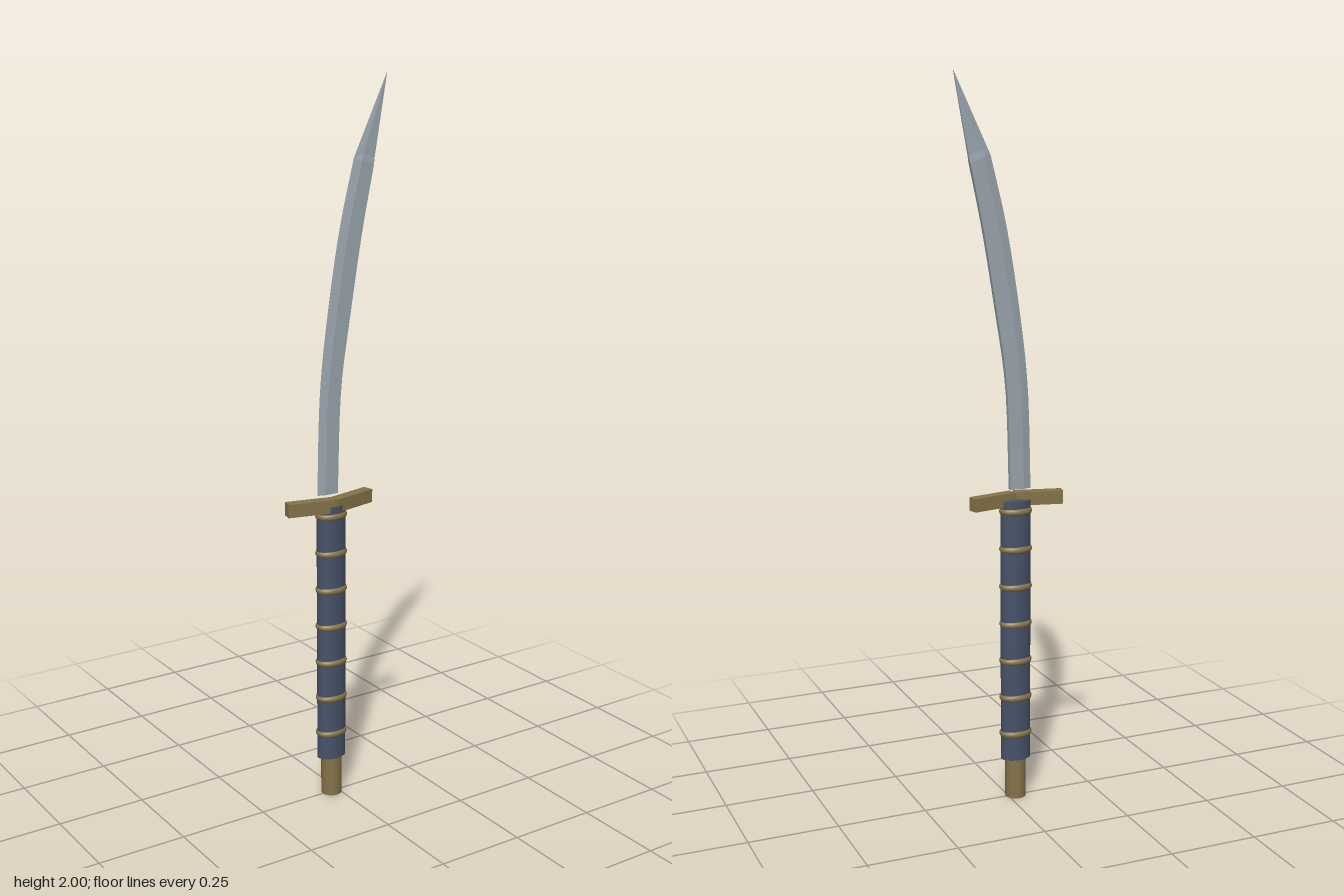
import * as THREE from 'three';

const brass = new THREE.MeshStandardMaterial({ color: 0x857349 });
const wrap = new THREE.MeshStandardMaterial({ color: 0x465268 });
const steel = new THREE.MeshStandardMaterial({ color: 0x9aa4ae, flatShading: true });
const AXIS_X = -0.022;

function part(name, geometry, material, x, y, z = 0) {
  const mesh = new THREE.Mesh(geometry, material);
  mesh.name = name;
  mesh.position.set(x, y, z);
  return mesh;
}

// Smooth edge line sampled from a few points
function edge(points, n) {
  const curve = new THREE.CatmullRomCurve3(points.map(([x, y]) => new THREE.Vector3(x, y, 0)));
  return curve.getPoints(n);
}

// Curved blade: sharp on the convex side, bevel ridge, flat back
function bladeGeometry() {
  const n = 18;
  const sharp = edge([[-0.066, 0.89], [-0.056, 1.18], [-0.03, 1.395], [0.006, 1.605], [0.05, 1.785]], n);
  const back = edge([[-0.004, 0.89], [0.007, 1.18], [0.039, 1.395], [0.074, 1.6], [0.109, 1.765]], n);
  const stations = sharp.map((s, i) => ({ s, b: back[i], t: 0.007 }));
  // Tapering point
  const tip = new THREE.Vector3(0.153, 2, 0);
  const last = stations[n];
  for (const [f, t] of [[0.08, 0.0045], [0.5, 0.003], [0.99, 0.001]]) {
    stations.push({ s: last.s.clone().lerp(tip, f), b: last.b.clone().lerp(tip, f), t });
  }
  const pos = [], idx = [];
  for (const { s, b, t } of stations) {
    const ridge = s.clone().lerp(b, 0.36);
    pos.push(s.x, s.y, 0, ridge.x, ridge.y, t, b.x, b.y, t, b.x, b.y, -t, ridge.x, ridge.y, -t);
  }
  const m = 5;
  for (let i = 0; i < stations.length - 1; i++) {
    for (let j = 0; j < m; j++) {
      const a = i * m + j, b = i * m + (j + 1) % m;
      idx.push(a, b, b + m, a, b + m, a + m);
    }
  }
  // End caps
  const top = (stations.length - 1) * m;
  for (let j = 1; j < m - 1; j++) {
    idx.push(0, j + 1, j, top, top + j, top + j + 1);
  }
  const g = new THREE.BufferGeometry();
  g.setAttribute('position', new THREE.Float32BufferAttribute(pos, 3));
  g.setIndex(idx);
  g.computeVertexNormals();
  return g;
}

export function createModel() {
  const group = new THREE.Group();
  group.name = 'sword';

  // Pommel
  group.add(part('pommel', new THREE.CylinderGeometry(0.029, 0.029, 0.12, 32), brass, AXIS_X, 0.06));

  // Oval grip
  const grip = part('grip', new THREE.CylinderGeometry(0.043, 0.043, 0.745, 32), wrap, AXIS_X, 0.4875);
  grip.scale.z = 0.7;
  group.add(grip);

  // Binding rings
  const ringGeometry = new THREE.TorusGeometry(0.037, 0.01, 10, 36).rotateX(Math.PI / 2);
  for (let i = 0; i < 7; i++) {
    const ring = part('gripRing', ringGeometry, brass, AXIS_X, 0.19 + i * 0.1067);
    ring.scale.z = 0.745;
    group.add(ring);
  }

  // Swept guard arms meeting in a shallow V
  const arm = new THREE.BoxGeometry(0.134, 0.037, 0.031);
  for (const side of [-1, 1]) {
    const mesh = part('guardArm', arm, brass, AXIS_X + side * 0.067, 0.8615, 0);
    mesh.rotation.y = side * 0.222;
    group.add(mesh);
  }

  group.add(part('blade', bladeGeometry(), steel, 0, 0, -0.001));
  return group;
}
